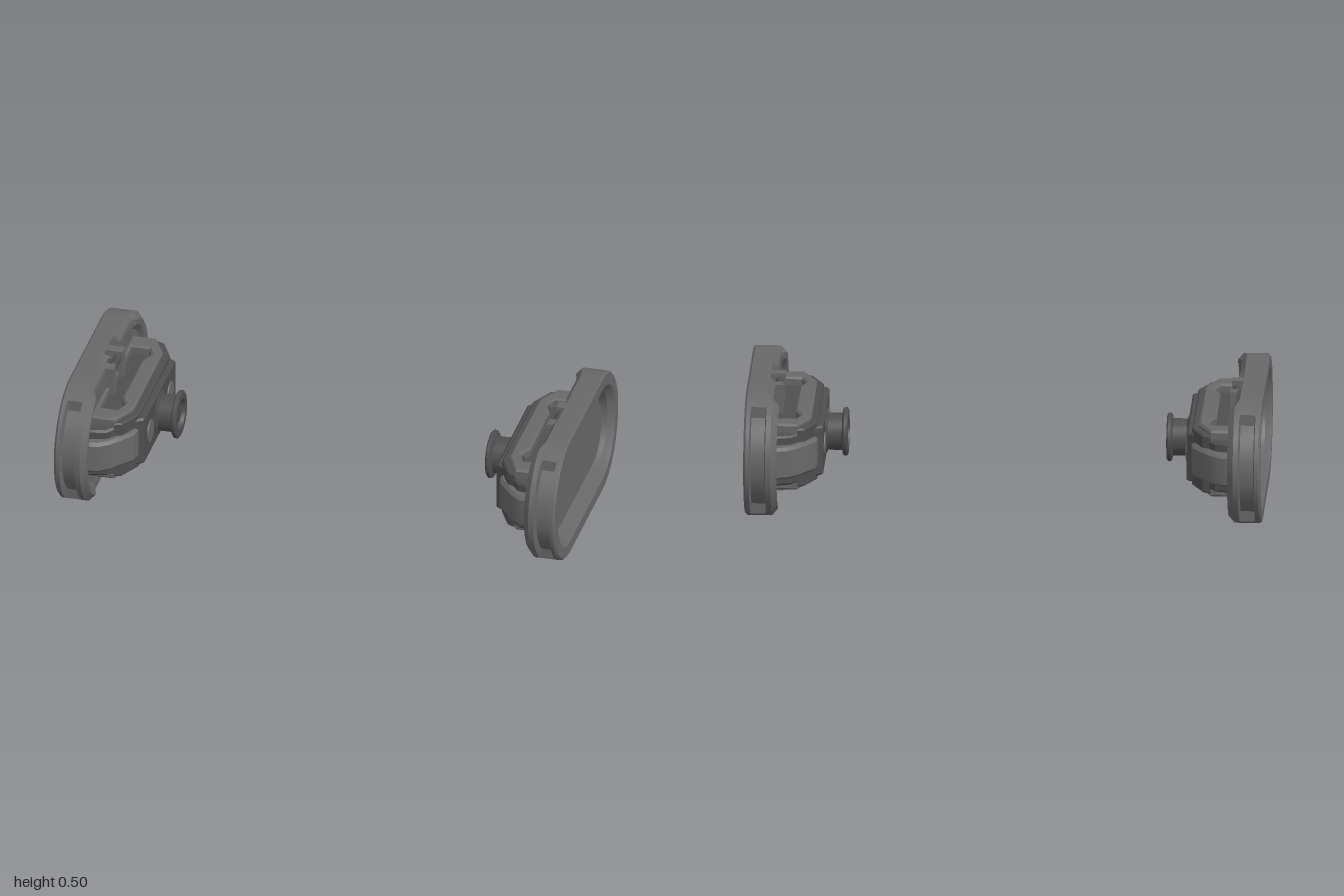
import * as THREE from 'three';
import { toCreasedNormals } from 'three/addons/utils/BufferGeometryUtils.js';

const CY = 0.25; // height of the pod axis
const HALF = 0.25; // half length of the straight sides

const grey = new THREE.MeshStandardMaterial({ color: 0x686868 });
grey.name = 'grey';
const dark = new THREE.MeshStandardMaterial({ color: 0x4e4e4e });
dark.name = 'dark grey';

function add(parent, name, geometry, material) {
  const mesh = new THREE.Mesh(geometry, material);
  mesh.name = name;
  parent.add(mesh);
  return mesh;
}

// Stadium outline: base z plus a unit direction
function outline() {
  const pts = [];
  const n = 30;
  for (const s of [1, -1]) {
    for (let i = 0; i <= n; i++) {
      const a = -Math.PI / 2 + (Math.PI * i) / n;
      pts.push({ z: s * HALF, dz: s * Math.cos(a), dy: s * Math.sin(a) });
    }
    for (const z of [0.11, 0.1, -0.1, -0.11]) pts.push({ z: s * z, dz: 0, dy: s });
  }
  return pts;
}

// Loft through stadium rings; each ring gives x and radius for an outline point
function loft(rings) {
  const pts = outline();
  const n = pts.length;
  const pos = [];
  const index = [];
  rings.forEach((ring, i) => {
    pts.forEach((p, j) => {
      const [x, r] = ring(p);
      pos.push(x, CY + p.dy * r, p.z + p.dz * r);
      if (i === rings.length - 1) return;
      const a = i * n + j, b = i * n + ((j + 1) % n);
      index.push(a, b, a + n, b, b + n, a + n);
    });
  });
  const g = new THREE.BufferGeometry();
  g.setAttribute('position', new THREE.Float32BufferAttribute(pos, 3));
  g.setIndex(index);
  return toCreasedNormals(g, 0.5);
}

const fixed = (x, r) => () => [x, r];
// Slot cut round each end
const slot = (x, depth) => (p) => [x, Math.abs(p.dz) > 0.5 ? 0.25 - depth : 0.25];
// Rear edge: thick at the ends, thinner along the sides, notched at the clips
const rear = (r, end, side, notch) => (p) => {
  const z = Math.abs(p.z + p.dz * r);
  if (z < 0.105) return [notch, r];
  return [THREE.MathUtils.lerp(side, end, THREE.MathUtils.smoothstep(z, 0.27, 0.34)), r];
};

// Plate cut from a z-symmetric outline of [x, z] points, thick in y
function plate(half, height, bevel, holeHalf) {
  const mirrored = (pts) => [...pts, ...pts.map(([x, z]) => [x, -z]).reverse()]
    .map(([x, z]) => new THREE.Vector2(x, z));
  const shape = new THREE.Shape(mirrored(half));
  if (holeHalf) shape.holes.push(new THREE.Path(mirrored(holeHalf)));
  const g = new THREE.ExtrudeGeometry(shape, {
    depth: height - 2 * bevel, bevelEnabled: true, bevelSize: bevel,
    bevelThickness: bevel, bevelOffset: -bevel, bevelSegments: 1,
  });
  g.translate(0, 0, -(height - 2 * bevel) / 2);
  g.rotateX(Math.PI / 2);
  g.translate(0, CY, 0);
  return toCreasedNormals(g, 0.5);
}

function box(x0, x1, y0, y1, z0, z1) {
  return new THREE.BoxGeometry(x1 - x0, y1 - y0, z1 - z0)
    .translate((x0 + x1) / 2, (y0 + y1) / 2, (z0 + z1) / 2);
}

function knobGeometry() {
  const profile = [
    [0, -0.72], [0.085, -0.72], [0.085, -0.7], [0.072, -0.695], [0.072, -0.64],
    [0.088, -0.637], [0.094, -0.633], [0.094, -0.622], [0.088, -0.617],
    [0.062, -0.617], [0.056, -0.635], [0.034, -0.635], [0.03, -0.625], [0, -0.625],
  ].map(([r, y]) => new THREE.Vector2(r, y));
  const g = new THREE.LatheGeometry(profile, 32).rotateZ(Math.PI / 2);
  return toCreasedNormals(g.translate(0, CY, 0), 0.5);
}

// One pod on the +x side, with its face outwards
function createPod() {
  const pod = new THREE.Group();

  // Oval housing: raised panel, sunken channel, rim, end slots and rear wall
  add(pod, 'housing', loft([
    fixed(0.963, 0), fixed(0.963, 0.128), fixed(0.95, 0.144),
    fixed(0.945, 0.147), fixed(0.945, 0.166), fixed(0.975, 0.17),
    fixed(0.996, 0.194), fixed(1, 0.197), fixed(1, 0.242), fixed(0.992, 0.25),
    slot(0.978, 0), slot(0.973, 0.035), slot(0.92, 0.035), slot(0.915, 0),
    rear(0.25, 0.895, 0.912, 0.94), rear(0.225, 0.872, 0.893, 0.94),
    rear(0.2, 0.875, 0.89, 0.94), fixed(0.893, 0.18), fixed(0.893, 0),
  ]), grey);

  // Stepped bracket standing off the back
  const core = [[0.9, 0.39], [0.82, 0.37], [0.735, 0.26], [0.703, 0.24]];
  add(pod, 'bracketCore', plate(core, 0.2, 0.008), dark);
  const arm = [[0.9, 0.43], [0.84, 0.42], [0.8, 0.39], [0.73, 0.3], [0.715, 0.2], [0.715, 0.1]];
  add(pod, 'bracketArm', plate(arm, 0.13, 0.012), grey);
  const frame = [[0.9, 0.33], [0.8, 0.33], [0.75, 0.23]];
  const hole = [[0.88, 0.25], [0.81, 0.25], [0.79, 0.2], [0.815, 0.15]];
  add(pod, 'bracketFrame', plate(frame, 0.268, 0.008, hole), grey);
  add(pod, 'bracketRail', plate([[0.8, 0.34], [0.77, 0.33], [0.725, 0.24]], 0.235, 0.006), dark);

  // Clips above and below
  for (const s of [1, -1]) {
    const clip = new THREE.Group();
    clip.name = s > 0 ? 'upperClip' : 'lowerClip';
    const span = (a, b) => (s > 0 ? [CY + a, CY + b] : [CY - b, CY - a]);
    for (const t of [1, -1]) {
      const z = t * 0.07;
      add(clip, 'clipLug', box(0.865, 0.945, ...span(0.1, 0.215), z - 0.022, z + 0.022), grey);
    }
    add(clip, 'clipTongue', box(0.885, 0.93, ...span(0.1, 0.19), -0.035, 0.035), dark);
    const pin = new THREE.CylinderGeometry(0.016, 0.016, 0.1, 12).rotateX(Math.PI / 2);
    add(clip, 'clipPin', pin.translate(0.885, CY + s * 0.185, 0), dark);
    pod.add(clip);
  }

  // Low bosses either side of the knob
  for (const s of [1, -1]) {
    const boss = new THREE.CylinderGeometry(0.045, 0.05, 0.02, 24).rotateZ(Math.PI / 2);
    add(pod, 'boss', boss.translate(0.708, CY, s * 0.155), grey);
  }

  add(pod, 'knob', knobGeometry(), dark);
  return pod;
}

export function createModel() {
  const model = new THREE.Group();
  model.name = 'pairOfPods';
  const left = createPod();
  left.name = 'leftPod';
  const right = createPod();
  right.name = 'rightPod';
  right.rotation.y = Math.PI;
  model.add(left, right);
  return model;
}
